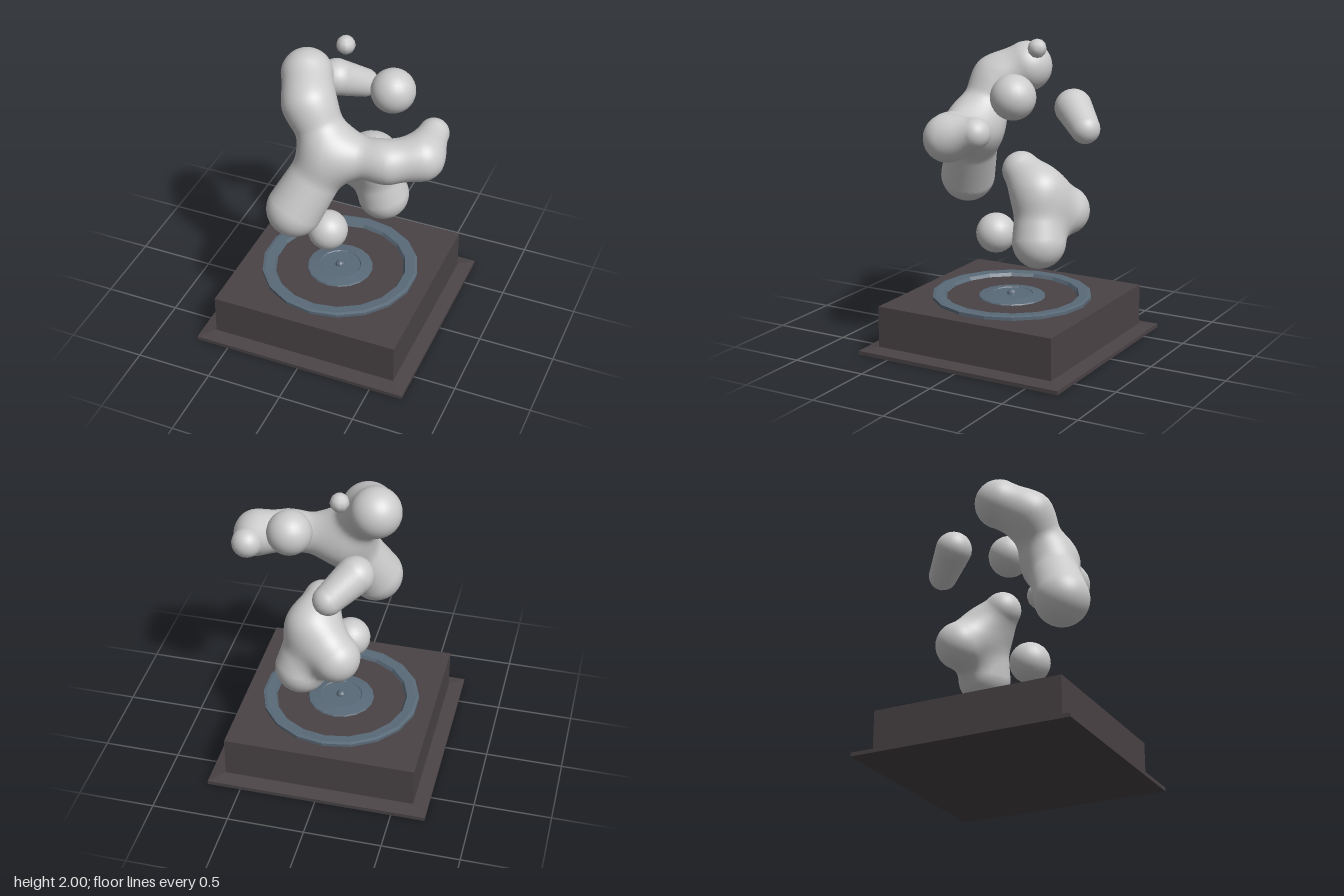
import * as THREE from 'three';

const AXES = [[1, 0, 0], [0, 1, 0], [0, 0, 1]];

// Signed distance to a tapered capsule between nodes [x, y, z, r]
function capsule(p, a, b) {
  const d = [0, 1, 2].map(i => b[i] - a[i]);
  let t = 0;
  for (let i = 0; i < 3; i++) t += (p[i] - a[i]) * d[i];
  t = Math.min(1, Math.max(0, t / (d[0] ** 2 + d[1] ** 2 + d[2] ** 2)));
  return Math.hypot(...d.map((v, i) => p[i] - a[i] - v * t)) - (a[3] + (b[3] - a[3]) * t);
}

// Smoothly blended limbs, meshed on a grid with vertices pulled onto the surface
function blobGeometry(limbs, blend = 0.1, cell = 0.026) {
  const field = p => {
    let f = 10;
    for (const limb of limbs) {
      for (let i = 0; i + 1 < limb.length; i++) {
        const d = capsule(p, limb[i], limb[i + 1]);
        const h = Math.max(blend - Math.abs(f - d), 0) / blend;
        f = Math.min(f, d) - h * h * blend / 4;
      }
    }
    return f;
  };
  const gradient = p => {
    const g = AXES.map(a => field(p.map((v, i) => v + a[i] * 0.002)) - field(p.map((v, i) => v - a[i] * 0.002)));
    const l = Math.hypot(...g) || 1;
    return g.map(v => v / l);
  };

  const nodes = limbs.flat();
  const low = [0, 1, 2].map(i => Math.min(...nodes.map(n => n[i] - n[3])) - 0.1);
  const size = [0, 1, 2].map(i => Math.ceil((Math.max(...nodes.map(n => n[i] + n[3])) + 0.1 - low[i]) / cell));
  const key = q => (q[0] * size[1] + q[1]) * size[2] + q[2];
  const values = new Float32Array(size[0] * size[1] * size[2]);
  const each = fn => {
    for (let x = 1; x < size[0] - 1; x++)
      for (let y = 1; y < size[1] - 1; y++)
        for (let z = 1; z < size[2] - 1; z++) fn([x, y, z]);
  };
  values.fill(1);
  each(q => { values[key(q)] = field(q.map((v, i) => low[i] + v * cell)); });

  const positions = [], normals = [], index = [], made = new Map();
  const vertex = q => {
    const k = key(q);
    if (!made.has(k)) {
      let p = q.map((v, i) => low[i] + (v + 0.5) * cell);
      for (let n = 0; n < 4; n++) {
        const g = gradient(p), f = field(p);
        p = p.map((v, i) => v - g[i] * f);
      }
      made.set(k, positions.length / 3);
      positions.push(...p);
      normals.push(...gradient(p));
    }
    return made.get(k);
  };
  // One quad around every grid edge that crosses the surface
  each(q => AXES.forEach((a, n) => {
    const inside = values[key(q)] < 0;
    if (inside === values[key(q.map((v, i) => v + a[i]))] < 0) return;
    const b = AXES[(n + 1) % 3], c = AXES[(n + 2) % 3];
    const at = (s, t) => vertex(q.map((v, i) => v - b[i] * s - c[i] * t));
    const quad = [at(0, 0), at(1, 0), at(1, 1), at(0, 1)];
    if (!inside) quad.reverse();
    index.push(quad[0], quad[1], quad[2], quad[0], quad[2], quad[3]);
  }));

  const geometry = new THREE.BufferGeometry();
  geometry.setAttribute('position', new THREE.Float32BufferAttribute(positions, 3));
  geometry.setAttribute('normal', new THREE.Float32BufferAttribute(normals, 3));
  geometry.setIndex(index);
  return geometry;
}

export function createModel() {
  const model = new THREE.Group();
  const grey = new THREE.MeshStandardMaterial({ color: 0xcccccc });
  const dark = new THREE.MeshStandardMaterial({ color: 0x4a4346, flatShading: true });
  const steel = new THREE.MeshStandardMaterial({ color: 0x5a6a78, flatShading: true, side: THREE.DoubleSide });
  const add = (name, geometry, material, x = 0, y = 0, z = 0) => {
    const mesh = new THREE.Mesh(geometry, material);
    mesh.name = name;
    mesh.position.set(x, y, z);
    model.add(mesh);
    return mesh;
  };
  const lathe = (points, sides) =>
    new THREE.LatheGeometry(points.map(p => new THREE.Vector2(...p)), sides);

  // Plinth: thin foot plate with a sloped top, and a square block
  add('footPlate', new THREE.BoxGeometry(1.44, 0.025, 1.44), dark, 0, 0.0125, 0);
  const slope = new THREE.CylinderGeometry(0.63 * Math.SQRT2, 0.72 * Math.SQRT2, 0.015, 4, 1);
  slope.rotateY(Math.PI / 4);
  add('footSlope', slope, dark, 0, 0.0325, 0);
  add('plinthBlock', new THREE.BoxGeometry(1.25, 0.28, 1.25), dark, 0, 0.17, 0);

  // Inlaid rings and centre stud
  add('outerRing', lathe([[0.52, 0.305], [0.52, 0.33], [0.5, 0.335], [0.44, 0.332], [0.425, 0.305]], 18), steel);
  add('innerDisc', lathe([[0.22, 0.309], [0.215, 0.318], [0.14, 0.328], [0.135, 0.322], [0, 0.322]], 18), steel);
  add('centreStud', new THREE.SphereGeometry(0.032, 10, 6), steel, 0, 0.322, 0);

  // Large three-armed blob
  const core = [0.04, 1.42, 0.25, 0.155];
  add('largeBlob', blobGeometry([
    [core, [-0.13, 1.7, 0.18, 0.145], [-0.215, 1.79, 0.01, 0.162]],
    [core, [-0.135, 1.05, 0.41, 0.178]],
    [core, [0.4, 1.43, 0.22, 0.115], [0.58, 1.45, 0.12, 0.125], [0.59, 1.5, -0.08, 0.097]],
  ]), grey);

  // Lower blob with a bent neck and two lobes
  const neck = [0.12, 1.06, -0.26, 0.14];
  add('lowerBlob', blobGeometry([
    [[0.09, 1.18, -0.12, 0.122], neck],
    [neck, [0.185, 0.76, -0.3, 0.17]],
    [neck, [-0.05, 0.92, -0.36, 0.157]],
  ]), grey);

  // Small two-lobed blob at the back
  add('backBlob', blobGeometry([[[-0.17, 1.56, -0.35, 0.12], [-0.04, 1.46, -0.5, 0.095]]]), grey);

  // Loose drops
  [['upperDrop', 0.285, 1.68, -0.17, 0.142, 24], ['lowerDrop', -0.03, 0.71, 0.135, 0.131, 24],
    ['topDrop', -0.03, 1.94, -0.165, 0.061, 9]].forEach(([name, x, y, z, r, sides]) =>
    add(name, new THREE.SphereGeometry(r, sides, Math.ceil(sides * 0.66)), grey, x, y, z));

  return model;
}
